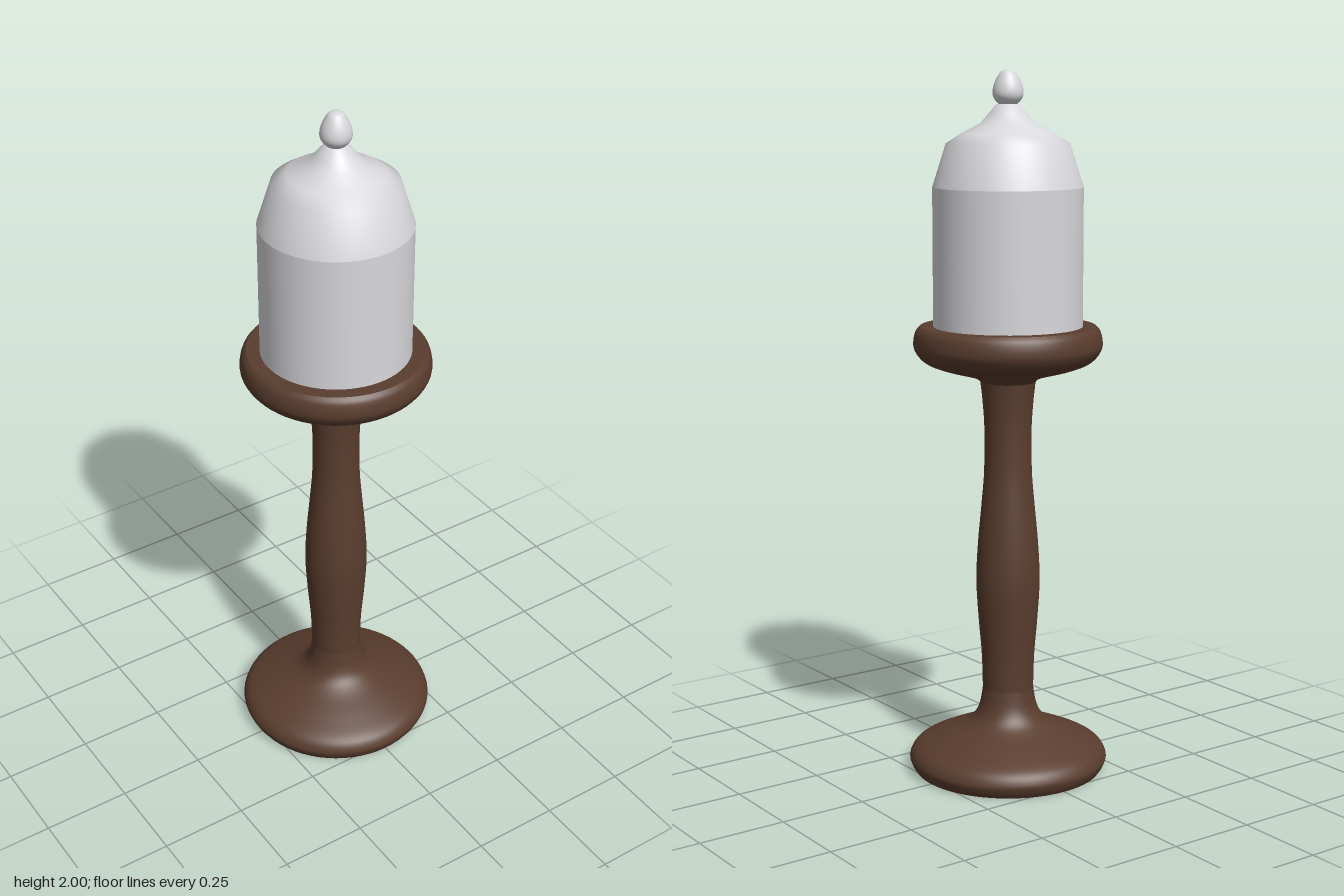
import * as THREE from 'three';

const SEGMENTS = 64;
const wood = new THREE.MeshStandardMaterial({ name: 'dark wood', color: 0x5a3d2e });
const wax = new THREE.MeshStandardMaterial({ name: 'pale wax', color: 0xd8d8dc });

const toPoints = (pairs) => pairs.map(([r, y]) => new THREE.Vector2(r, y));

// Spins a profile (radius, height), listed bottom to top, around the y axis
function turned(name, pairs, material, samples = 0) {
  let points = toPoints(pairs);
  if (samples) points = new THREE.SplineCurve(points).getPoints(samples);
  const mesh = new THREE.Mesh(new THREE.LatheGeometry(points, SEGMENTS), material);
  mesh.name = name;
  return mesh;
}

export function createModel() {
  const model = new THREE.Group();
  model.name = 'candlestick';

  // Turned wooden holder: each profile starts where the previous one ends
  model.add(
    turned('baseUnderside', [[0, 0], [0.27, 0]], wood),
    turned('base', [[0.27, 0], [0.281, 0.018], [0.285, 0.04], [0.265, 0.07],
      [0.205, 0.1], [0.135, 0.13], [0.1, 0.155], [0.082, 0.19], [0.073, 0.24]], wood, 48),
    turned('stem', [[0.073, 0.24], [0.076, 0.34], [0.085, 0.45], [0.091, 0.56],
      [0.086, 0.67], [0.075, 0.79], [0.068, 0.88], [0.067, 1.0], [0.072, 1.08], [0.078, 1.135]], wood, 48),
    turned('cup', [[0.078, 1.135], [0.1, 1.15], [0.19, 1.175], [0.237, 1.195],
      [0.262, 1.225], [0.266, 1.25], [0.26, 1.278], [0.248, 1.293]], wood, 40),
    turned('cupTop', [[0.248, 1.293], [0, 1.293]], wood),
  );

  // Candle with a tapered shoulder
  model.add(
    turned('candleBody', [[0.21, 1.293], [0.21, 1.68]], wax),
    turned('candleShoulder', [[0.21, 1.68], [0.172, 1.8], [0.13, 1.827],
      [0.076, 1.855], [0.055, 1.88], [0.033, 1.905], [0.024, 1.908]], wax),
  );

  // Flame-shaped tip
  model.add(turned('tip', [[0.024, 1.905], [0.039, 1.922], [0.043, 1.94], [0.037, 1.965],
    [0.023, 1.991], [0.012, 1.998], [0, 2]], wax, 24));

  return model;
}
